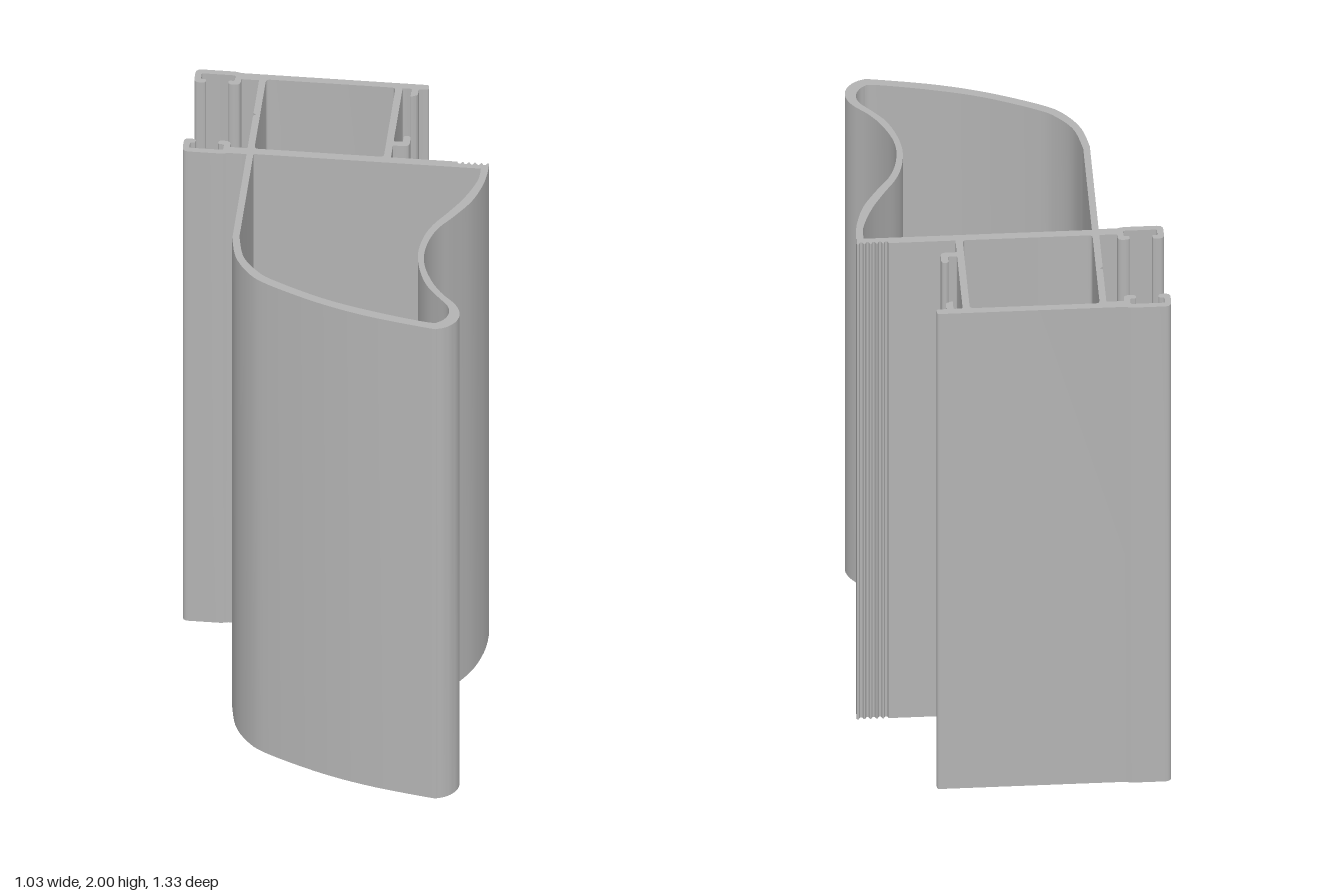
import * as THREE from 'three';
import { toCreasedNormals } from 'three/addons/utils/BufferGeometryUtils.js';

const HEIGHT = 2;
const v = (x, z) => new THREE.Vector2(x, z);

// Smooth run through [x, z] points
const smooth = (pts, n) => new THREE.SplineCurve(pts.map(p => v(...p))).getPoints(n);

// Closed outline from [x, z, radius] corners; a missing radius keeps the corner sharp
function rounded(corners) {
  const out = [];
  corners.forEach(([x, z, r], i) => {
    const c = v(x, z);
    if (!r) { out.push(c); return; }
    const toward = q => {
      const d = v(q[0] - x, q[1] - z);
      return c.clone().add(d.setLength(Math.min(r, d.length() * 0.5)));
    };
    const a = toward(corners[(i + corners.length - 1) % corners.length]);
    const b = toward(corners[(i + 1) % corners.length]);
    out.push(...new THREE.QuadraticBezierCurve(a, c, b).getPoints(5));
  });
  return out;
}

// C-shaped channel on the left end of a flange; the back one is its mirror image
const frontChannel = [
  [-0.365, -0.222], [-0.385, -0.216, 0.01], [-0.52, -0.216, 0.022],
  [-0.52, -0.287, 0.018], [-0.48, -0.287, 0.014], [-0.48, -0.267, 0.006],
  [-0.498, -0.267, 0.006], [-0.498, -0.237, 0.006],
  [-0.384, -0.237, 0.006], [-0.384, -0.267, 0.006], [-0.404, -0.267, 0.006],
  [-0.404, -0.287, 0.014], [-0.363, -0.287, 0.018], [-0.363, -0.255],
];
const backChannel = frontChannel.map(([x, z, r]) => [x, -0.882 - z, r]).reverse();

function outline() {
  // Back flange, right lips and hook on the side wall
  const corners = [
    ...backChannel,
    [0.269, -0.66, 0.01], [0.269, -0.634, 0.008], [0.236, -0.634],
    [0.236, -0.602, 0.008], [0.212, -0.59, 0.004], [0.212, -0.634, 0.006],
    [0.181, -0.634, 0.006], [0.181, -0.343, 0.006], [0.212, -0.343, 0.006],
    [0.212, -0.377, 0.01], [0.236, -0.377, 0.012], [0.236, -0.32, 0.018],
    [0.181, -0.32], [0.181, -0.255], [0.403, -0.255],
  ];
  // Grip grooves near the right edge of the middle flange
  for (let i = 0; i < 5; i++) {
    const x = 0.405 + i * 0.021;
    corners.push([x, -0.255], [x + 0.005, -0.245], [x + 0.012, -0.245], [x + 0.017, -0.255]);
  }
  corners.push([0.513, -0.255]);
  // Curved nose
  const nose = smooth([
    [0.513, -0.21], [0.505, -0.14], [0.477, -0.046], [0.424, 0.046], [0.382, 0.109],
    [0.357, 0.176], [0.347, 0.254], [0.357, 0.327], [0.389, 0.405], [0.428, 0.465],
    [0.477, 0.518], [0.498, 0.563], [0.495, 0.606], [0.47, 0.641], [0.435, 0.659],
    [0.4, 0.658], [0.195, 0.616], [0.02, 0.56], [-0.157, 0.479], [-0.227, 0.426],
    [-0.28, 0.342], [-0.303, 0.24],
  ], 90);
  corners.push(...nose.map(p => [p.x, p.y]));
  // Left wall with its small scored notch
  corners.push(
    [-0.303, -0.222], ...frontChannel, [-0.303, -0.255],
    [-0.303, -0.433], [-0.294, -0.44], [-0.303, -0.447], [-0.303, -0.627],
  );
  return rounded(corners);
}

// Rectangular chamber between the two flanges
const chamber = () => rounded([
  [-0.28, -0.634, 0.014], [0.157, -0.634, 0.014],
  [0.157, -0.255, 0.014], [-0.28, -0.255, 0.014],
]);

// Large hollow inside the nose
const noseHollow = () => [v(-0.28, -0.225), ...smooth([
  [0.488, -0.225], [0.484, -0.158], [0.449, -0.06], [0.403, 0.025], [0.361, 0.095],
  [0.336, 0.165], [0.326, 0.254], [0.34, 0.342], [0.371, 0.423], [0.414, 0.482],
  [0.452, 0.528], [0.463, 0.563], [0.456, 0.595], [0.435, 0.62], [0.396, 0.627],
  [0.213, 0.588], [0.037, 0.535], [-0.139, 0.454], [-0.202, 0.408], [-0.255, 0.335],
  [-0.28, 0.229],
], 90)];

export function createModel() {
  const aluminium = new THREE.MeshStandardMaterial({ color: 0xb3b3b3 });
  aluminium.name = 'aluminium grey';

  const section = new THREE.Shape(outline());
  section.holes.push(new THREE.Path(chamber()), new THREE.Path(noseHollow()));

  // Stand the extrusion upright
  const extrusion = new THREE.ExtrudeGeometry(section, { depth: HEIGHT, bevelEnabled: false });
  extrusion.rotateX(Math.PI / 2).translate(0, HEIGHT, 0);

  const profile = new THREE.Mesh(toCreasedNormals(extrusion, 0.55), aluminium);
  profile.name = 'extrudedProfile';

  const model = new THREE.Group();
  model.name = 'framePost';
  model.add(profile);
  return model;
}
